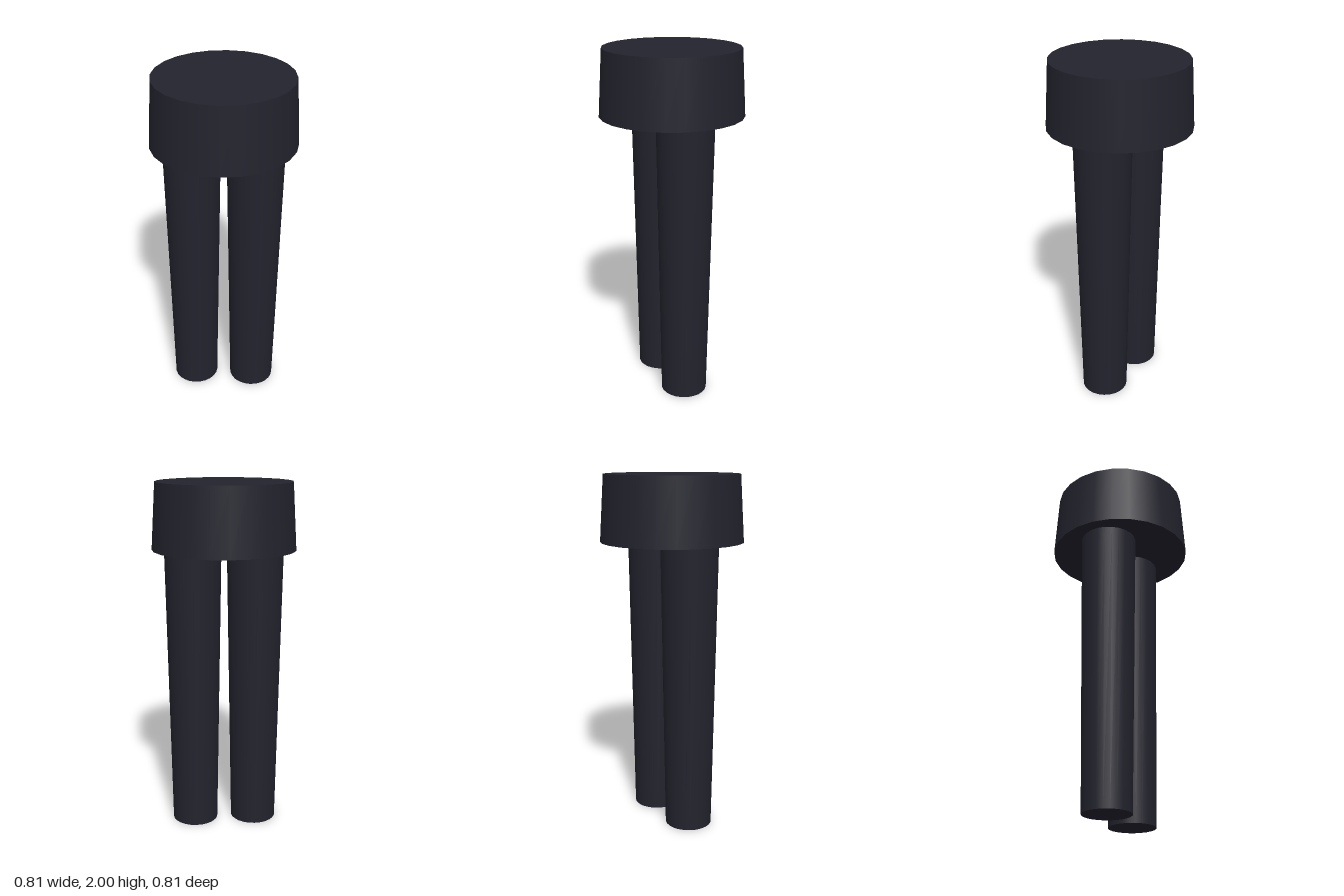
import * as THREE from 'three';

export function createModel() {
  const model = new THREE.Group();
  const fabric = new THREE.MeshStandardMaterial({ color: 0x23232e });
  fabric.name = 'darkFabric';

  // Tapered round part standing on height y
  const addTaper = (name, rTop, rBottom, height, sides, x, y) => {
    const mesh = new THREE.Mesh(new THREE.CylinderGeometry(rTop, rBottom, height, sides), fabric);
    mesh.name = name;
    mesh.position.set(x, y + height / 2, 0);
    model.add(mesh);
  };

  // Hip block, wider at its lower edge
  addTaper('hips', 0.38, 0.403, 0.37, 24, 0, 1.63);

  // Pair of legs, narrowing to the floor and tucked just inside the hips
  for (const [name, side] of [['leftLeg', 1], ['rightLeg', -1]]) {
    addTaper(name, 0.16, 0.133, 1.64, 24, side * 0.175, 0);
  }
  return model;
}
